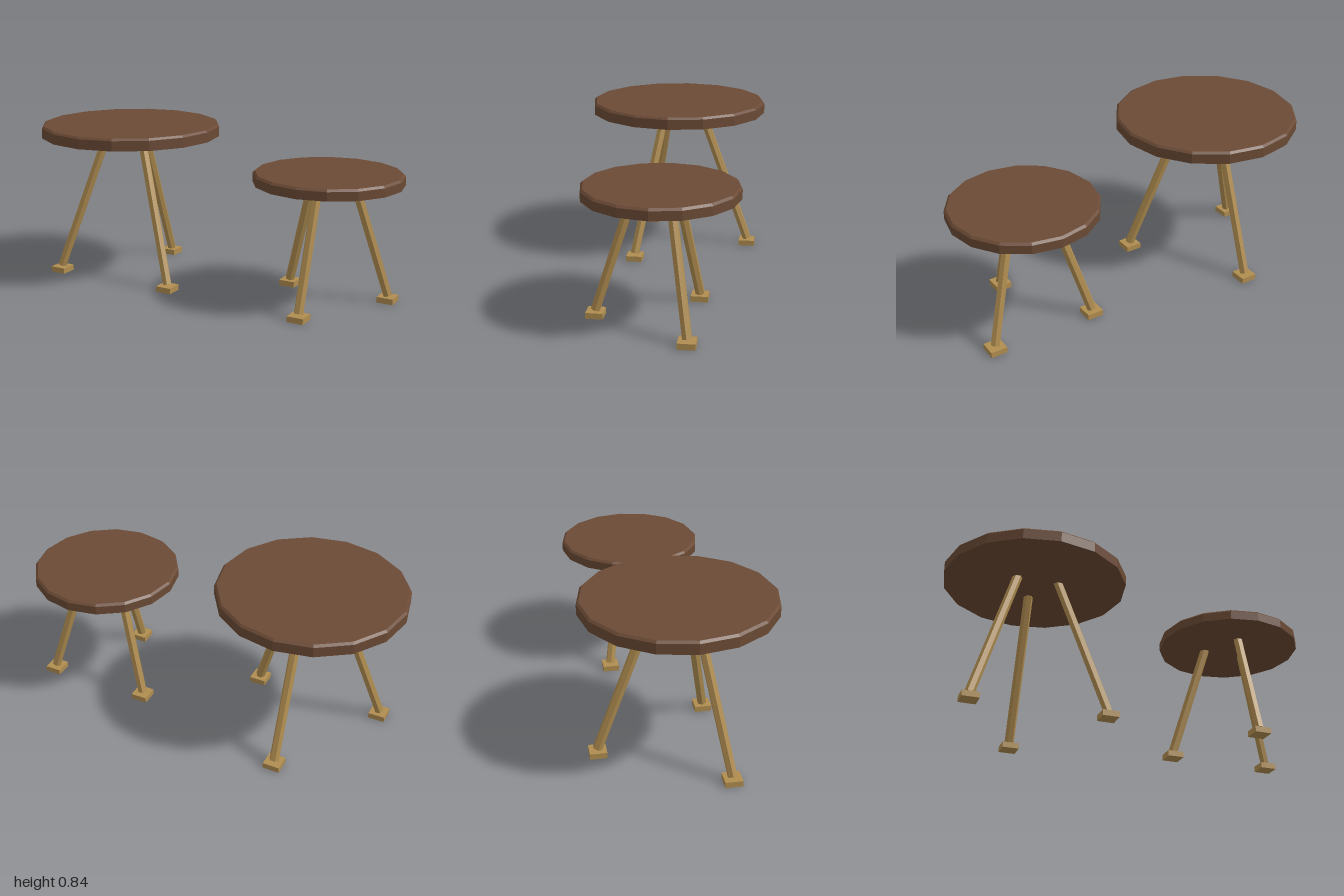
import * as THREE from 'three';

const darkWood = new THREE.MeshStandardMaterial({ color: 0x6b4a35 });
darkWood.name = 'darkWood';
const paleWood = new THREE.MeshStandardMaterial({ color: 0xb08d50 });
paleWood.name = 'paleWood';

// Faceted mesh: every face keeps its own normal
function facet(name, geometry, material) {
  const flat = geometry.toNonIndexed();
  flat.computeVertexNormals();
  const mesh = new THREE.Mesh(flat, material);
  mesh.name = name;
  return mesh;
}

// Hexagonal leg between a foot point and a top point, splayed along 'angle'
function makeLeg(angle, footRadius, topRadius, topY) {
  const leg = new THREE.Group();
  leg.name = 'leg';
  leg.rotation.y = angle;

  const inset = 0.02; // carry the shaft a little way into the slab
  const startY = 0.035;
  const slope = (topRadius - footRadius) / (topY - startY);
  const a = new THREE.Vector3(0, startY, footRadius);
  const b = new THREE.Vector3(0, topY + inset, topRadius + slope * inset);
  const geometry = new THREE.CylinderGeometry(0.025, 0.025, a.distanceTo(b), 6);
  geometry.rotateY(Math.PI / 2); // flat side faces outward
  const shaft = facet('legShaft', geometry, paleWood);
  shaft.position.copy(a).add(b).multiplyScalar(0.5);
  shaft.quaternion.setFromUnitVectors(new THREE.Vector3(0, 1, 0), b.sub(a).normalize());
  leg.add(shaft);
  return leg;
}

function makeTable({ name, x, z, radius, bottomY, topY, footRadius, legTopRadius, firstAngle }) {
  const table = new THREE.Group();
  table.name = name;
  table.position.set(x, 0, z);

  // Sixteen-sided slab with a small bevel around the upper edge
  const bevel = 0.011;
  const height = topY - bevel - bottomY;
  const slab = facet('tabletop', new THREE.CylinderGeometry(radius, radius, height, 16), darkWood);
  slab.position.y = bottomY + height / 2;
  const edge = facet('tabletopBevel',
    new THREE.CylinderGeometry(radius - bevel, radius, bevel, 16), darkWood);
  edge.position.y = topY - bevel / 2;
  table.add(slab, edge);

  // Three splayed legs on square feet
  for (let i = 0; i < 3; i++) {
    const angle = firstAngle + (i * Math.PI * 2) / 3;
    table.add(makeLeg(angle, footRadius, legTopRadius, bottomY));
    const foot = facet('foot', new THREE.BoxGeometry(0.087, 0.03, 0.087), paleWood);
    foot.position.set(Math.sin(angle) * footRadius, 0.015, Math.cos(angle) * footRadius);
    table.add(foot);
  }
  return table;
}

export function createModel() {
  const model = new THREE.Group();
  model.name = 'nestingTables';
  model.add(
    makeTable({
      name: 'largeTable', x: -0.52, z: 0, radius: 0.48, bottomY: 0.777, topY: 0.84,
      footRadius: 0.4, legTopRadius: 0.128, firstAngle: Math.PI,
    }),
    makeTable({
      name: 'smallTable', x: 0.62, z: -0.06, radius: 0.38, bottomY: 0.625, topY: 0.681,
      footRadius: 0.32, legTopRadius: 0.13, firstAngle: 0,
    }),
  );
  return model;
}
